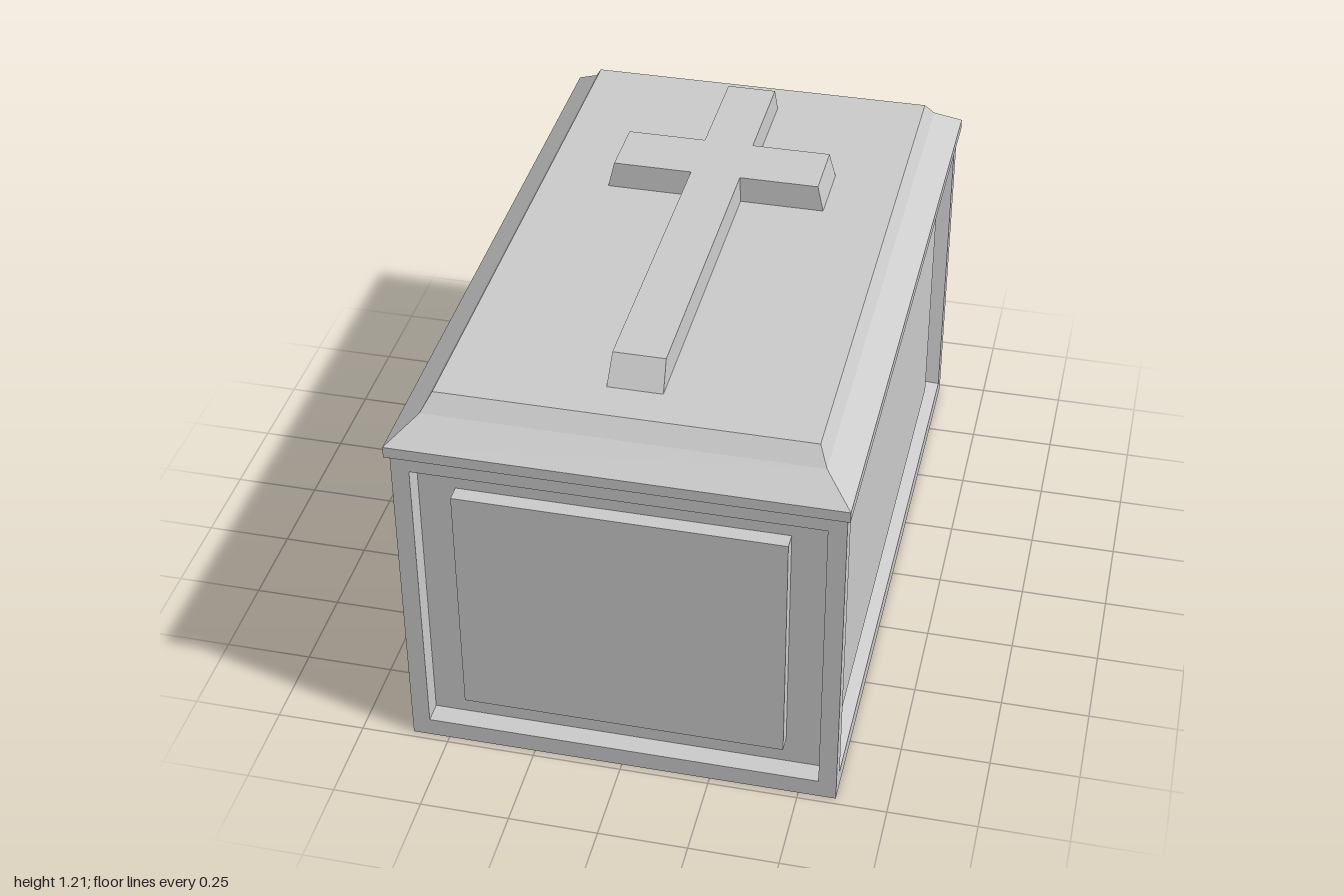
import * as THREE from 'three';

const material = new THREE.MeshStandardMaterial({ color: 0xcccccc, flatShading: true });

// Counter-clockwise rectangle ring at depth z
const rect = (x0, x1, y0, y1, z) => ({ z, pts: [[x0, y0], [x1, y0], [x1, y1], [x0, y1]] });

// Flat-shaded skin through a series of rings along z, closed at the end and optionally at the start
function loft(rings, closeStart) {
  const pos = [];
  const add = (ring, i) => pos.push(...ring.pts[i], ring.z);
  for (let k = 0; k < rings.length - 1; k++) {
    const a = rings[k], b = rings[k + 1], n = a.pts.length;
    for (let i = 0; i < n; i++) {
      const j = (i + 1) % n;
      add(a, i); add(a, j); add(b, j);
      add(a, i); add(b, j); add(b, i);
    }
  }
  const cap = (ring, flip) => {
    const outline = ring.pts.map(([x, y]) => new THREE.Vector2(x, y));
    for (const [a, b, c] of THREE.ShapeUtils.triangulateShape(outline, [])) {
      for (const i of flip ? [a, c, b] : [a, b, c]) add(ring, i);
    }
  };
  cap(rings[rings.length - 1], false);
  if (closeStart) cap(rings[0], true);
  const geometry = new THREE.BufferGeometry();
  geometry.setAttribute('position', new THREE.Float32BufferAttribute(pos, 3));
  geometry.computeVertexNormals();
  return geometry;
}

function mesh(name, geometry, parent) {
  const m = new THREE.Mesh(geometry, material);
  m.name = name;
  parent.add(m);
  return m;
}

const W = 0.605, D = 0.98, H = 0.99;

// Wall with a sunken frame and a raised centre panel
function wall(half, opening, floor, panel, slope, depth, panelDepth, out) {
  const [oy0, oy1] = [0.055, 0.937], [py0, py1] = [0.137, 0.855];
  return loft([
    rect(-half, half, 0, H, out),
    rect(-opening, opening, oy0, oy1, out),
    rect(-floor, floor, oy0 + slope, oy1 - slope, out - depth),
    rect(-panel, panel, py0, py1, out - depth),
    rect(-panel, panel, py0, py1, out - panelDepth),
  ], false);
}

// Cross outline: bar half width w, arm half length a, bar ends and arm edges in z
function crossRing(y, w, a, back, front, armBack, armFront) {
  const pts = [
    [-w, -front], [w, -front], [w, -armFront], [a, -armFront], [a, -armBack], [w, -armBack],
    [w, -back], [-w, -back], [-w, -armBack], [-a, -armBack], [-a, -armFront], [-w, -armFront],
  ];
  return { z: y, pts };
}

export function createModel() {
  const model = new THREE.Group();
  model.name = 'tomb';

  // Chest walls
  const chest = new THREE.Group();
  chest.name = 'chest';
  model.add(chest);
  const endWall = wall(W, 0.555, 0.555, 0.452, 0, 0.06, 0.015, D);
  const sideWall = wall(D, 0.93, 0.912, 0.774, 0.016, 0.055, 0.025, W);
  mesh('frontWall', endWall, chest);
  mesh('backWall', endWall, chest).rotation.y = Math.PI;
  mesh('leftWall', sideWall, chest).rotation.y = Math.PI / 2;
  mesh('rightWall', sideWall, chest).rotation.y = -Math.PI / 2;
  mesh('base', new THREE.PlaneGeometry(2 * W, 2 * D).rotateX(Math.PI / 2), chest);

  // Lid slab with two-step bevel
  const lidSteps = [
    [0.615, 1, 0.99], [0.615, 1, 1.022], [0.537, 0.917, 1.085], [0.512, 0.877, 1.13],
  ];
  const lid = loft(lidSteps.map(([x, z, y]) => rect(-x, x, -z, z, y)), true);
  mesh('lid', lid.rotateX(-Math.PI / 2), model);

  // Raised cross with sloping ends
  const cross = loft([
    crossRing(1.13, 0.076, 0.318, -0.76, 0.757, -0.41, -0.21),
    crossRing(1.206, 0.072, 0.3, -0.73, 0.705, -0.4, -0.215),
  ], false);
  mesh('cross', cross.rotateX(-Math.PI / 2), model);

  return model;
}
